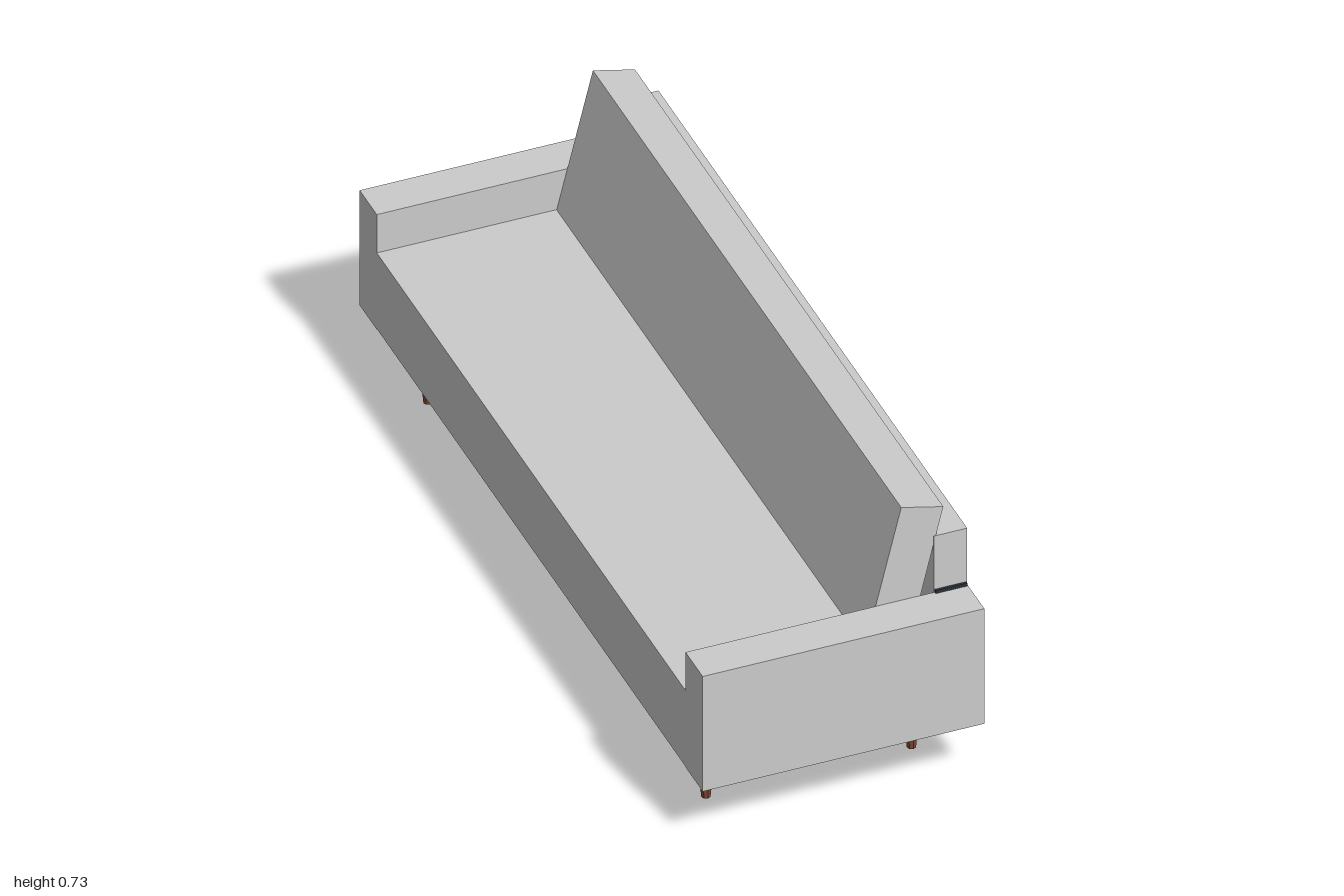
import * as THREE from 'three';

const fabric = new THREE.MeshStandardMaterial({ color: 0xcccccc, flatShading: true });
const lining = new THREE.MeshStandardMaterial({ color: 0x2b333c, flatShading: true });
const wood = new THREE.MeshStandardMaterial({ color: 0x7b4630, flatShading: true });

const FRONT = -0.339, REAR = 0.338;   // the seat opens towards -x
const BACK_X = 0.258;                 // inner face of the back panel
const INNER = 0.9, OUTER = 1.0;       // arm faces along z
const FLOOR = 0.162, SEAT = 0.372, ARM = 0.477;

// Box given by its limits on each axis
function block(name, material, [x0, x1], [y0, y1], [z0, z1]) {
  const mesh = new THREE.Mesh(new THREE.BoxGeometry(x1 - x0, y1 - y0, z1 - z0), material);
  mesh.position.set((x0 + x1) / 2, (y0 + y1) / 2, (z0 + z1) / 2);
  mesh.name = name;
  return mesh;
}

export function createModel() {
  const sofa = new THREE.Group();
  sofa.name = 'sofa';

  // Seat, back panel and dark underside cloth
  sofa.add(
    block('seat', fabric, [FRONT, BACK_X], [FLOOR + 0.002, SEAT], [-INNER, INNER]),
    block('backPanel', fabric, [BACK_X, REAR], [0.158, 0.631], [-INNER, INNER]),
    block('undersideCloth', lining, [FRONT + 0.002, BACK_X], [FLOOR, FLOOR + 0.002], [-INNER, INNER]),
  );

  // Leaning back cushion, slanted profile run along z
  const profile = new THREE.Shape([
    new THREE.Vector2(0.09, 0.36),
    new THREE.Vector2(0.198, 0.36),
    new THREE.Vector2(0.281, 0.705),
    new THREE.Vector2(0.18, 0.73),
  ]);
  const cushion = new THREE.Mesh(
    new THREE.ExtrudeGeometry(profile, { depth: 2 * INNER - 0.002, bevelEnabled: false }), fabric);
  cushion.position.z = -INNER + 0.001;
  cushion.name = 'backCushion';
  sofa.add(cushion);

  // Arms, trim strips and legs, mirrored along z
  for (const side of [-1, 1]) {
    const span = (a, b) => (side > 0 ? [a, b] : [-b, -a]);
    sofa.add(
      block('arm', fabric, [FRONT, REAR], [FLOOR, ARM], span(INNER, OUTER)),
      block('trimStrip', lining, [0.26, 0.336], [ARM - 0.01, 0.485], span(INNER - 0.005, INNER + 0.006)),
    );
    for (const x of [-0.253, 0.241]) {
      const leg = new THREE.Mesh(new THREE.CylinderGeometry(0.027, 0.011, FLOOR, 8), wood);
      leg.position.set(x, FLOOR / 2, side * 0.81);
      leg.name = 'leg';
      sofa.add(leg);
    }
  }
  return sofa;
}
